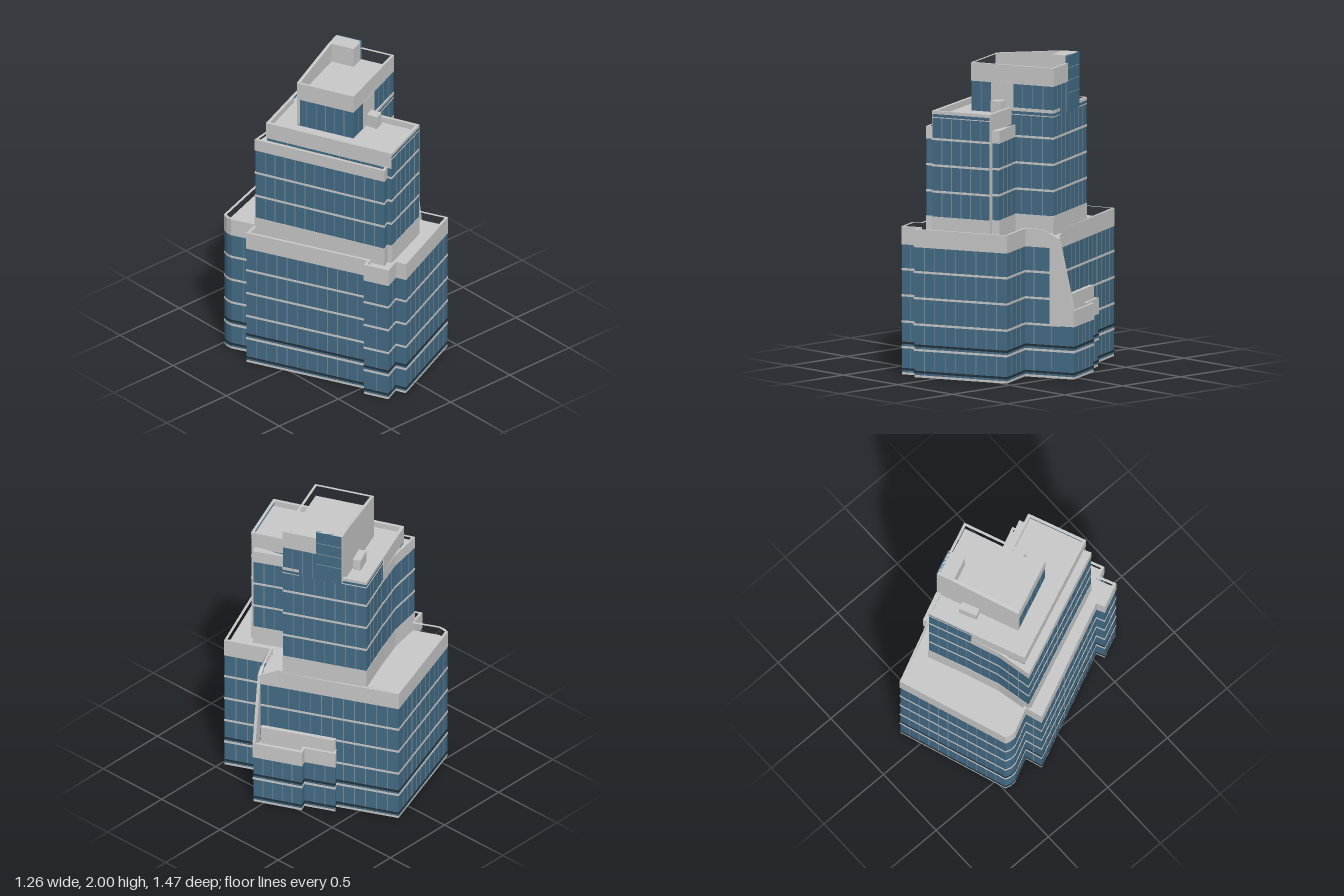
import * as THREE from 'three';
import { mergeGeometries } from 'three/addons/utils/BufferGeometryUtils.js';

const mat = (color) => new THREE.MeshStandardMaterial({ color, flatShading: true });
const grey = mat(0xcccccc);
const glass = mat(0x456d88);
const dark = mat(0x24333d);
const mullionMat = mat(0x7c92a0);

// Plans as [x, z] corners, running back -> left side -> front -> right side.
const PODIUM = [
  [0.14, -0.735], [0.476, -0.01], [0.53, 0.105], [0.43, 0.15], [0.318, 0.2], [0.443, 0.476],
  [-0.136, 0.73], [-0.163, 0.665], [-0.268, 0.713], [-0.336, 0.56], [-0.283, 0.536],
  [-0.625, -0.225], [-0.514, -0.26], [-0.587, -0.413], [-0.589, -0.45], [-0.579, -0.487],
];
const WING = [[0.312, -0.36], [0.357, -0.394], [0.443, -0.208], [0.49, -0.23], [0.622, 0.064], [0.53, 0.105]];
const LEDGE = [[0.312, -0.36], [0.34, -0.372], [0.545, 0.07], [0.517, 0.083]];
const TOWER = [[-0.457, -0.223], [0.16, -0.478], [0.39, 0.025], [0.12, 0.14], [0.24, 0.433], [-0.125, 0.583]];
const SIDE_BAY = [[-0.53, -0.25], [-0.3, -0.297], [-0.12, -0.365], [-0.14, 0.555], [-0.183, 0.58]];
const SLIVER = [[0.155, 0.13], [0.275, 0.385], [0.23, 0.407]];
const PENTHOUSE = [[-0.287, -0.122], [0.237, -0.336], [0.39, 0.025], [-0.136, 0.235]];
const STAIR = [[0.136, -0.293], [0.237, -0.336], [0.303, -0.18], [0.2, -0.138]];
const VENT_FRONT = [[0.03, 0.177], [0.09, 0.15], [0.113, 0.222], [0.05, 0.247]];
const VENT_BACK = [[-0.06, -0.274], [0.047, -0.324], [0.07, -0.278], [-0.04, -0.228]];

// Offsets a plan outwards (negative values inwards) with mitred corners.
function offset(pts, d) {
  const n = pts.length;
  const normal = (i) => {
    const a = pts[(i + n) % n], b = pts[(i + 1) % n];
    const l = Math.hypot(b[0] - a[0], b[1] - a[1]);
    return [(b[1] - a[1]) / l, (a[0] - b[0]) / l];
  };
  return pts.map((p, i) => {
    const a = normal(i - 1), b = normal(i);
    const k = d / Math.max(0.3, 1 + a[0] * b[0] + a[1] * b[1]);
    return [p[0] + (a[0] + b[0]) * k, p[1] + (a[1] + b[1]) * k];
  });
}

function prismGeometry(pts, y0, y1, hole) {
  const toV = (list) => list.map(([x, z]) => new THREE.Vector2(x, -z));
  const shape = new THREE.Shape(toV(pts));
  if (hole) shape.holes.push(new THREE.Path(toV(hole)));
  const g = new THREE.ExtrudeGeometry(shape, { depth: y1 - y0, bevelEnabled: false });
  return g.rotateX(-Math.PI / 2).translate(0, y0, 0);
}

export function createModel() {
  const model = new THREE.Group();

  function add(parent, name, geometry, material) {
    const mesh = new THREE.Mesh(geometry, material);
    mesh.name = name;
    parent.add(mesh);
    return mesh;
  }
  const prism = (parent, name, pts, y0, y1, material = grey) =>
    add(parent, name, prismGeometry(pts, y0, y1), material);

  // Thin upright panel from p to q (left to right as seen from outside); profile is [distance, y].
  function panel(parent, name, p, q, profile, material = grey, proud = 0.005, thick = 0.02) {
    const shape = new THREE.Shape(profile.map(([u, y]) => new THREE.Vector2(u, y)));
    const g = new THREE.ExtrudeGeometry(shape, { depth: thick, bevelEnabled: false });
    g.translate(0, 0, proud - thick).rotateY(Math.atan2(p[1] - q[1], q[0] - p[0])).translate(p[0], 0, p[1]);
    return add(parent, name, g, material);
  }
  const rect = (u0, u1, y0, y1) => [[u0, y0], [u1, y0], [u1, y1], [u0, y1]];
  const dist = (p, q) => Math.hypot(q[0] - p[0], q[1] - p[1]);

  // Glazed storeys with floor bands and upright mullions.
  function facade(parent, name, pts, y0, y1, bands, darkBands = []) {
    prism(parent, name + 'Glass', pts, y0, y1, glass);
    const ring = (y, h, d) => prismGeometry(offset(pts, d), y - h / 2, y + h / 2, offset(pts, -0.01));
    if (bands.length) add(parent, name + 'FloorBands', mergeGeometries(bands.map((y) => ring(y, 0.014, 0.003))), grey);
    if (darkBands.length) add(parent, name + 'DarkBands', mergeGeometries(darkBands.map((y) => ring(y, 0.014, 0.0025))), dark);
    const bars = [];
    pts.forEach((a, i) => {
      const b = pts[(i + 1) % pts.length];
      const n = Math.round(dist(a, b) / 0.07);
      for (let k = 1; k < n; k++) {
        const t = k / n;
        bars.push(new THREE.BoxGeometry(0.004, y1 - y0, 0.004)
          .rotateY(-Math.atan2(b[1] - a[1], b[0] - a[0]))
          .translate(a[0] + (b[0] - a[0]) * t, (y0 + y1) / 2, a[1] + (b[1] - a[1]) * t));
      }
    });
    if (bars.length) add(parent, name + 'Mullions', mergeGeometries(bars), mullionMat);
  }

  // Parapet wall around a sunken roof.
  function parapet(parent, name, pts, y0, roofY, y1, width = 0.014) {
    prism(parent, name + 'Roof', offset(pts, -0.004), y0, roofY);
    return add(parent, name + 'Parapet', prismGeometry(offset(pts, 0.003), y0, y1, offset(pts, -width)), grey);
  }

  const section = (name) => {
    const g = new THREE.Group();
    g.name = name;
    model.add(g);
    return g;
  };

  // Podium, with the parapet dipping at one corner
  const podium = section('podium');
  prism(podium, 'podiumBase', PODIUM, 0, 0.015);
  facade(podium, 'podium', PODIUM, 0.015, 0.83, [0.175, 0.338, 0.505, 0.672], [0.035, 0.203]);
  const rim = parapet(podium, 'podium', PODIUM, 0.83, 0.885, 0.945).geometry;
  const pos = rim.attributes.position;
  for (let i = 0; i < pos.count; i++) {
    if (pos.getY(i) > 0.9 && Math.hypot(pos.getX(i) - 0.53, pos.getZ(i) - 0.105) < 0.04) pos.setY(i, 0.89);
  }
  rim.computeVertexNormals();

  // Low side wing, its ledge and the sloping end wall
  const wing = section('sideWing');
  prism(wing, 'wingBase', WING, 0, 0.015);
  facade(wing, 'wing', WING, 0.015, 0.335, [0.175], [0.035, 0.203]);
  parapet(wing, 'wing', WING, 0.335, 0.4, 0.44);
  prism(wing, 'wingLedge', LEDGE, 0.4, 0.52);
  panel(wing, 'slopingEndWall', [0.318, 0.2], [0.622, 0.064],
    [[0.167, 0.335], [0.333, 0.335], [0.333, 0.44], [0.233, 0.89], [0.167, 0.925]]);

  // Main tower
  const tower = section('tower');
  prism(tower, 'towerPlinth', offset(TOWER, 0.003), 0.88, 1.01);
  facade(tower, 'tower', TOWER, 1.01, 1.64, [1.17, 1.337, 1.505]);
  add(tower, 'towerGlassTop', prismGeometry(TOWER, 1.64, 1.665, offset(TOWER, -0.014)), glass);
  parapet(tower, 'tower', TOWER, 1.64, 1.645, 1.645);
  add(tower, 'towerRim', prismGeometry(offset(TOWER, 0.003), 1.665, 1.685, offset(TOWER, -0.016)), grey);
  const upperBand = (name, p, q) => panel(tower, name, p, q, rect(0, dist(p, q), 1.575, 1.683));
  upperBand('rightUpperBand', TOWER[0], TOWER[5]);
  upperBand('leftUpperBand', TOWER[4], TOWER[3]);
  upperBand('backUpperBand', [-0.12, -0.362], TOWER[0]);
  panel(tower, 'leftCornerStrip', TOWER[4], TOWER[3], rect(0, 0.03, 1.01, 1.66));

  // Lower bays against the tower
  for (const [name, plan] of [['sideBay', SIDE_BAY], ['sliverBay', SLIVER]]) {
    const bay = section(name);
    prism(bay, name + 'Plinth', offset(plan, 0.003), 0.88, 1.01);
    facade(bay, name, plan, 1.01, 1.5, [1.17, 1.337]);
    if (name === 'sideBay') parapet(bay, name, plan, 1.5, 1.555, 1.58);
    else prism(bay, name + 'Cap', offset(plan, 0.003), 1.5, 1.58);
  }

  // Penthouse with a raked back wall
  const top = section('penthouse');
  facade(top, 'penthouse', PENTHOUSE, 1.64, 1.835, []);
  parapet(top, 'penthouse', PENTHOUSE, 1.835, 1.87, 1.953);
  const [backRight, backLeft, frontLeft, frontRight] = PENTHOUSE;
  const w = dist(backLeft, backRight);
  panel(top, 'rakedBackWall', backLeft, backRight, [[0, 1.65], [w, 1.65], [w, 1.955], [0.11, 2], [0, 2]]);
  panel(top, 'frontPier', frontRight, frontLeft, rect(0.135, 0.29, 1.65, 1.84));

  // Stair head and its glazed face
  prism(top, 'stairHead', STAIR, 1.86, 2);
  const s = dist(STAIR[2], STAIR[1]);
  panel(top, 'stairGlazing', STAIR[2], STAIR[1], rect(0, s, 1.65, 2), glass, 0.006);
  for (const y of [1.76, 1.84, 1.92]) {
    panel(top, 'stairGlazingBar', STAIR[2], STAIR[1], rect(0, s, y, y + 0.004), mullionMat, 0.008);
  }

  // Roof vents
  prism(tower, 'frontVent', VENT_FRONT, 1.64, 1.73);
  prism(tower, 'backVent', VENT_BACK, 1.64, 1.72);

  return model;
}
